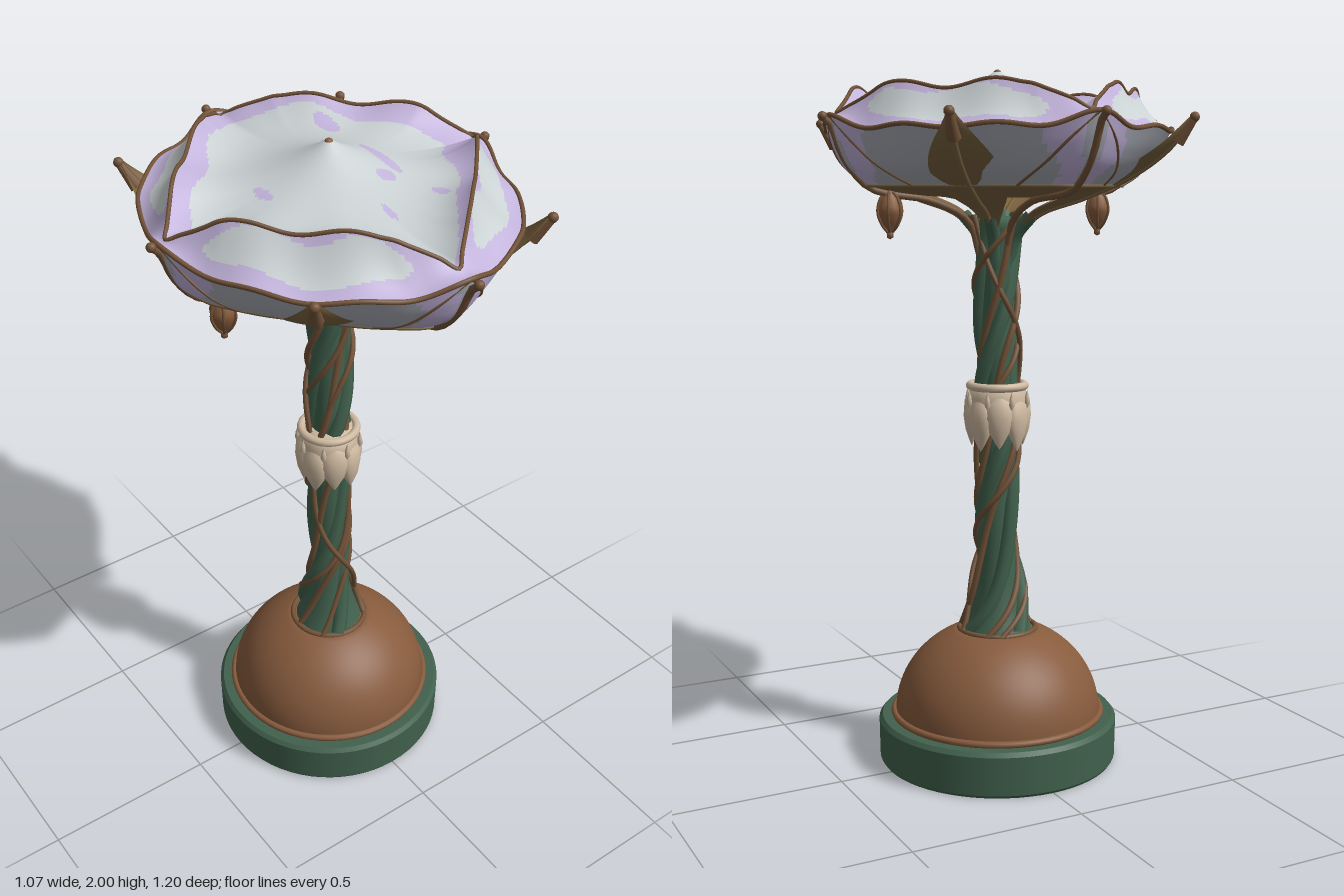
import * as THREE from 'three';

const { sin, cos, abs, PI, max, min, pow, exp, hypot } = Math;
const V = (x, y, z) => new THREE.Vector3(x, y, z);
const TAU = PI * 2;

export function createModel() {
  const model = new THREE.Group();
  const mat = (name, color, side = THREE.FrontSide) => {
    const m = new THREE.MeshStandardMaterial({ color, side });
    m.name = name;
    return m;
  };
  const green = mat('mossGreen', 0x41614d);
  const dark = mat('darkFelt', 0x2b2a20);
  const copper = mat('copper', 0x875b3d);
  const vine = mat('vineBrown', 0x735338);
  const bronze = mat('bronze', 0x7c6440, THREE.DoubleSide);
  const cream = mat('cream', 0xcfbaa1);
  const white = mat('paleGlass', 0xcbd2d4, THREE.DoubleSide);
  const lilac = mat('lilacGlass', 0xc3b4dc, THREE.DoubleSide);
  const grey = mat('greyGlass', 0xa9adb6, THREE.DoubleSide);

  const add = (name, geometry, material, parent = model) => {
    const mesh = new THREE.Mesh(geometry, material);
    mesh.name = name;
    parent.add(mesh);
    return mesh;
  };
  const lathe = (pts, n = 64) => new THREE.LatheGeometry(pts.map(p => new THREE.Vector2(...p)), n);
  const tube = (pts, r, closed = false, seg = pts.length * 3) =>
    new THREE.TubeGeometry(new THREE.CatmullRomCurve3(pts, closed), seg, r, 7, closed);

  // Grid surface; pick(u, v) chooses the material slot of each cell
  const surface = (fn, nu, nv, pick = () => 0) => {
    const pos = [], slots = [[], []];
    for (let i = 0; i <= nu; i++) for (let j = 0; j <= nv; j++) pos.push(...fn(i / nu, j / nv).toArray());
    for (let i = 0; i < nu; i++) for (let j = 0; j < nv; j++) {
      const a = i * (nv + 1) + j, b = a + nv + 1;
      slots[pick((i + 0.5) / nu, (j + 0.5) / nv)].push(a, a + 1, b, b, a + 1, b + 1);
    }
    const g = new THREE.BufferGeometry();
    g.setAttribute('position', new THREE.Float32BufferAttribute(pos, 3));
    g.setIndex(slots.flat());
    g.addGroup(0, slots[0].length, 0);
    g.addGroup(slots[0].length, slots[1].length, 1);
    g.computeVertexNormals();
    return g;
  };

  // Base: plinth, dome and trim rings
  add('plinth', lathe([[0.345, 0], [0.35, 0.008], [0.35, 0.008], [0.352, 0.12], [0.352, 0.12], [0.342, 0.132], [0.342, 0.132], [0, 0.134]]), green);
  add('plinthUnderside', new THREE.CircleGeometry(0.345, 64), dark).rotation.x = PI / 2;
  const domePts = [];
  for (let i = 0; i <= 20; i++) {
    const a = i / 20 * 1.17;
    domePts.push([0.302 * cos(a), 0.14 + 0.27 * sin(a)]);
  }
  add('dome', lathe([...domePts, [0, 0.392]]), copper);
  const ring = (name, r, t, y, m) => {
    const o = add(name, new THREE.TorusGeometry(r, t, 10, 64), m);
    o.rotation.x = PI / 2;
    o.position.y = y;
  };
  ring('domeRing', 0.306, 0.01, 0.14, copper);
  ring('stemRing', 0.112, 0.008, 0.39, vine);

  // Stem: flared core with twisted stalks and vines
  const stemR = y => 0.046 + 0.055 * exp(-(y - 0.39) * 9) + 0.02 * exp((y - 1.6) * 14);
  const corePts = [];
  for (let i = 0; i <= 40; i++) {
    const y = 0.39 + i / 40 * 1.2;
    corePts.push([stemR(y), y]);
  }
  add('stemCore', lathe([...corePts, [0, 1.6]], 32), green);
  const helix = (a0, twist, grow, wobble) => {
    const pts = [];
    for (let i = 0; i <= 44; i++) {
      const y = 0.39 + i / 44 * 1.21;
      const a = a0 + twist * (y - 0.39) + wobble * sin(y * 9 + a0);
      const r = stemR(y) + grow + 0.005 * sin(y * 11 + a0 * 2);
      pts.push(V(r * cos(a), y, r * sin(a)));
    }
    return pts;
  };
  for (let k = 0; k < 3; k++) add('twistedStalk', tube(helix(k * TAU / 3, -6, -0.004, 0.3), 0.023), green);
  for (let k = 0; k < 3; k++) {
    add('vine', tube(helix(k * TAU / 3 + 1, -6, 0.008, 0.35), 0.0095), vine);
    add('crossingVine', tube(helix(k * TAU / 3 + 0.4, k ? -8.5 : 4.5, 0.014, 0.5), 0.008), vine);
  }

  // Collar: ring and hanging cream petals
  const collar = new THREE.Group();
  collar.name = 'collar';
  model.add(collar);
  add('collarBody', lathe([[0.05, 0.985], [0.083, 1.0], [0.09, 1.04], [0.084, 1.08], [0.078, 1.115], [0.04, 1.118]], 32), cream, collar);
  const petalShape = lathe([[0, -0.085], [0.008, -0.07], [0.023, -0.035], [0.03, 0.005], [0.026, 0.05], [0, 0.075]], 16);
  const dropShape = lathe([[0, -0.03], [0.009, -0.015], [0.006, 0.005], [0, 0.025]], 8);
  for (let k = 0; k < 8; k++) {
    const a = (k + 0.5) / 8 * TAU, p = add('collarPetal', petalShape, cream, collar);
    p.position.set(0.074 * cos(a), 1.02 - 0.01 * (k % 2), 0.074 * sin(a));
    p.scale.set(0.8, 1, 1.3);
    p.rotation.y = -a;
    const b = a + PI / 8, d = add('collarDrop', dropShape, cream, collar);
    d.position.set(0.09 * cos(b), 1.078, 0.09 * sin(b));
  }
  ring('collarRing', 0.079, 0.012, 1.112, cream);

  // Bowl outlines: oval cusped rim and wavy diamond ridge
  const rim = a => {
    const c = cos(a), s = sin(a), cusp = pow(max(abs(c), abs(s)), 60), k = 1 + 0.07 * cusp;
    return V(0.47 * k * c, 1.83 + 0.03 * cusp + 0.006 * cos(12 * a), 0.525 * k * s);
  };
  const ridge = a => {
    const c = abs(cos(a)) / 0.48, s = abs(sin(a)) / 0.515, t = s / (c + s);
    const r = (1 + 0.05 * sin(PI * t)) / (c + s);
    const y = 1.87 + 0.07 * min(1, 1.6 * sin(PI * t)) + 0.012 * cos(TAU * (t - 0.27) / 0.37) * sin(PI * t);
    return V(r * cos(a), y, r * sin(a));
  };
  const corner = u => abs(((u * 4 + 0.5) % 1) - 0.5);

  // Inner dish with a pointed centre; lilac margins and a few stray flecks [x, z, rx, rz]
  const dishPoint = (u, v) => {
    const p = ridge(u * TAU), x = p.x * v, z = p.z * v;
    const hump = 0.16 * exp(-4.5 * hypot(x, z));
    const edge = p.y - 1.84 - 0.16 * exp(-4.5 * hypot(p.x, p.z));
    return V(x, 1.84 + hump + edge * pow(v, 5), z);
  };
  const flecks = [[0.14, 0.03, 0.02, 0.09], [0.09, 0.12, 0.025, 0.025], [-0.2, 0, 0.014, 0.04], [0.165, -0.24, 0.025, 0.05],
    [0.085, -0.125, 0.018, 0.018], [0.17, 0.24, 0.016, 0.03], [0.01, 0.24, 0.01, 0.03]];
  add('innerDish', surface(dishPoint, 240, 60, (u, v) => {
    const p = dishPoint(u, v), a = u * TAU;
    const fleck = flecks.some(([x, z, rx, rz]) => hypot((p.x - x) / rx, (p.z - z) / rz) < 1);
    return fleck || v + 0.03 * sin(a * 7) + 0.025 * sin(a * 3 + 1) + 0.05 * cos(a * 2) > 0.87 ? 1 : 0;
  }), [white, lilac]);
  add('centreBud', new THREE.SphereGeometry(0.012, 12, 8), copper).position.y = 1.988;

  // Petals sloping from the ridge out to the rim, white inside a lilac border
  add('outerPetals', surface((u, v) => {
    const a = ridge(u * TAU), b = rim(u * TAU), p = a.clone().lerp(b, v);
    p.y -= 0.1 * hypot(a.x - b.x, a.z - b.z) / 0.15 * v * (1 - v);
    return p;
  }, 240, 24, (u, v) => {
    const across = (v - 0.36 - 0.06 * sin(u * TAU * 9)) / 0.3, along = (0.5 - corner(u)) / 0.36;
    return pow(abs(across), 3) + pow(along, 4) > 1 ? 1 : 0;
  }), [white, lilac]);

  // Outside wall, tucked in behind the leaves, and bronze underside
  const wall = new THREE.CatmullRomCurve3([V(1, 1, 0), V(0.96, 0.6, 0), V(0.9, 0.27, 0), V(0.79, 0, 0)]);
  const wallPoint = (a, v) => {
    const p = rim(a), w = wall.getPoint(v), k = w.x * (1 - 0.13 * v * pow(sin(2 * a), 2));
    return V(p.x * k, 1.68 + (p.y - 1.68) * w.y, p.z * k);
  };
  add('outerWall', surface((u, v) => wallPoint(u * TAU, v), 200, 24, (u, v) => {
    const c = corner(u) + 0.02 * sin(v * 7 + u * 20);
    return c > 0.03 && c < 0.17 - 0.08 * v ? 1 : 0;
  }), [grey, lilac]);
  add('bowlUnderside', surface((u, v) => {
    const p = wallPoint(u * TAU, 1), k = 1 - v;
    return V(p.x * k, 1.647 + 0.033 * pow(k, 3), p.z * k);
  }, 96, 12), bronze);

  // Metal trim along the edges
  const loop = fn => Array.from({ length: 96 }, (_, i) => fn(i / 96 * TAU));
  add('rimTrim', tube(loop(rim), 0.0065, true), vine);
  add('ridgeTrim', tube(loop(ridge), 0.0055, true), vine);
  add('undersideTrim', tube(loop(a => wallPoint(a, 1)), 0.005, true), bronze);

  // Ribs on the four main axes, with fanned wires on the wall
  for (let k = 0; k < 4; k++) {
    const a = k * PI / 2, far = k % 2 ? 0.59 : 0.522, n = far / 0.522;
    const at = (r, y) => V(r * cos(a), y, r * sin(a));
    add('axisRib', tube([at(0.055, 1.48), at(0.09, 1.58), at(0.2, 1.637), at(0.39 * n, 1.675), at(0.465 * n, 1.76), at(far - 0.025, 1.84), at(far, 1.862)], 0.01), vine);
    add('ribTip', new THREE.SphereGeometry(0.013, 12, 8), vine).position.copy(at(far - 0.002, 1.862));
    for (const s of [-1, 1]) {
      const pts = [0, 0.25, 0.5, 0.75, 1].map(v => wallPoint(a + s * 0.38 * pow(v, 0.7), v));
      add('wallWire', tube(pts, 0.004), vine);
    }
  }

  // Broad leaves on the diagonals, each on a green limb from the stem
  const spine = new THREE.CatmullRomCurve3([V(0.05, 1.53, 0), V(0.13, 1.6, 0), V(0.26, 1.645, 0), V(0.4, 1.705, 0), V(0.5, 1.775, 0), V(0.57, 1.86, 0)]);
  const leafGeo = surface((u, v) => {
    const p = spine.getPoint(u), s = v * 2 - 1;
    const w = 0.01 + 0.087 * pow(max(0, sin(PI * pow(u, 1.25))), 1.2);
    return V(p.x - 0.01 * s * s, p.y + 0.012 * s * s * sin(PI * u), s * w);
  }, 28, 10);
  const midrib = tube(spine.getPoints(16), 0.007);
  const limb = tube([V(0.03, 1.45, 0), V(0.055, 1.54, 0), V(0.105, 1.6, 0)], 0.02);
  const tipGeo = new THREE.CylinderGeometry(0.01, 0.02, 0.08, 10);
  for (const sx of [-1, 1]) for (const sz of [-1, 1]) {
    const leaf = new THREE.Group();
    leaf.name = 'leaf';
    leaf.rotation.y = -Math.atan2(sz * 0.445, sx * 0.36);
    add('leafBlade', leafGeo, bronze, leaf);
    add('leafMidrib', midrib, bronze, leaf);
    add('leafLimb', limb, green, leaf);
    const horn = add('leafHorn', tipGeo, vine, leaf);
    horn.position.set(0.549, 1.828, 0);
    horn.rotation.z = -0.65;
    add('leafTip', new THREE.SphereGeometry(0.014, 10, 8), vine, leaf).position.set(0.572, 1.86, 0);
    model.add(leaf);
  }

  // Hanging seed pods on both sides
  const podGeo = lathe([[0, -0.07], [0.009, -0.065], [0.009, -0.053], [0.005, -0.048], [0.022, -0.03], [0.034, 0], [0.034, 0.018], [0.024, 0.043], [0.011, 0.055], [0.013, 0.062], [0, 0.066]], 16);
  for (const side of [-1, 1]) {
    const pod = new THREE.Group();
    pod.name = 'seedPod';
    pod.position.set(side * 0.33, 1.605, 0);
    add('podBody', podGeo, copper, pod);
    add('podHanger', new THREE.CylinderGeometry(0.005, 0.005, 0.05, 8), vine, pod).position.y = 0.075;
    for (let k = 0; k < 6; k++) {
      const a = k / 6 * TAU, at = (r, y) => V(r * cos(a), y, r * sin(a));
      add('podRib', tube([at(0.008, -0.05), at(0.024, -0.03), at(0.036, 0.005), at(0.026, 0.043), at(0.01, 0.057)], 0.004), vine, pod);
    }
    model.add(pod);
  }
  return model;
}
